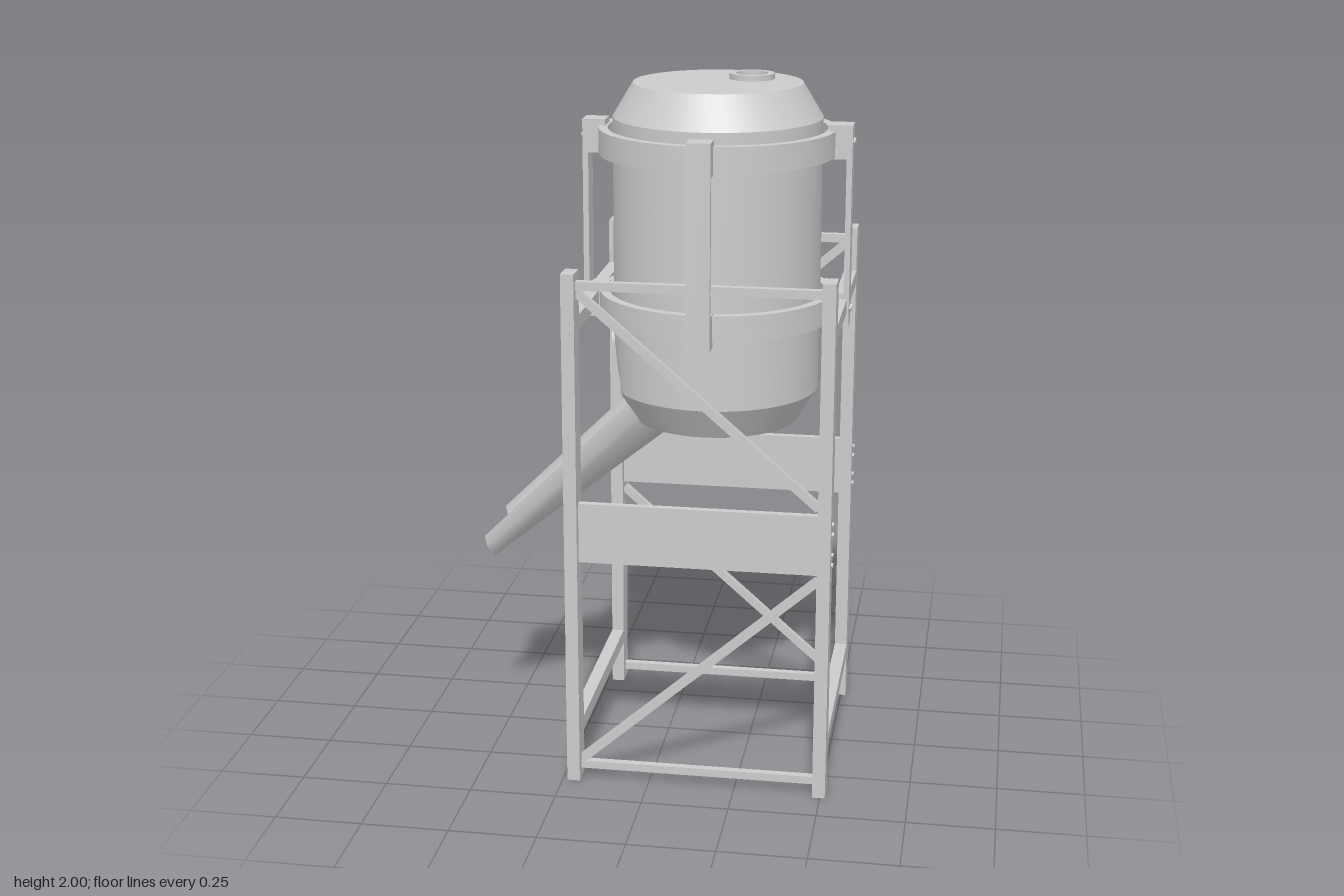
import * as THREE from 'three';
import { toCreasedNormals } from 'three/addons/utils/BufferGeometryUtils.js';

const mat = new THREE.MeshStandardMaterial({ color: 0xcccccc, side: THREE.DoubleSide });
const LEG_X = 0.357, LEG_Z = 0.36, LEG_W = 0.037, LEG_D = 0.07, LEG_H = 1.51;
const SPAN_X = 2 * LEG_X - LEG_W, SPAN_Z = 2 * LEG_Z - LEG_D;

function add(parent, name, geo, x = 0, y = 0, z = 0) {
  const m = new THREE.Mesh(geo, mat);
  m.name = name;
  m.position.set(x, y, z);
  parent.add(m);
  return m;
}

function box(parent, name, w, h, d, x, y, z) {
  return add(parent, name, new THREE.BoxGeometry(w, h, d), x, y, z);
}

function lathe(profile, segments) {
  const pts = profile.map(([r, y]) => new THREE.Vector2(r, y));
  return new THREE.LatheGeometry(pts, segments);
}

// Square-section hoop, y measured from its underside
function hoop(inner, outer, height, segments) {
  return toCreasedNormals(lathe([[inner, 0], [outer, 0], [outer, height], [inner, height], [inner, 0]], segments), 0.6);
}

// Bolt head pointing along x or z
function bolt(parent, axis, x, y, z) {
  const b = add(parent, 'bolt', new THREE.CylinderGeometry(0.007, 0.007, 0.012, 8), x, y, z);
  if (axis === 'x') b.rotation.z = Math.PI / 2;
  else b.rotation.x = Math.PI / 2;
}

// Barrel with sloping shoulders and a flat sloping face cut on the chute side
const cutX = (y) => -0.298 + 0.225 * (1.3 - y);

function tankGeometry() {
  const profile = [[0, 1.016], [0.12, 1.016], [0.239, 1.016]];
  for (let i = 1; i <= 4; i++) profile.push([0.239 + 0.057 * i / 4, 1.016 + 0.094 * i / 4]);
  for (let i = 1; i <= 6; i++) profile.push([0.296, 1.11 + 0.19 * i / 6]);
  profile.push([0.296, 1.889], [0.239, 1.984], [0, 1.984]);
  const geo = lathe(profile, 48);
  const p = geo.attributes.position;
  for (let i = 0; i < p.count; i++) {
    if (p.getY(i) < 1.3) p.setX(i, Math.max(p.getX(i), cutX(p.getY(i))));
  }
  return toCreasedNormals(geo, 0.4);
}

// Trough lofted between a shallow lower end and a deep upper end
function chuteGeometry() {
  const outer = [[0.14, 1], [0.14, 0.6], [0.1, 0], [0, 0], [-0.1, 0], [-0.14, 0.6], [-0.14, 1]];
  const inner = [[-0.13, 1], [-0.13, 0.64], [-0.093, 0.13], [0, 0.13], [0.093, 0.13], [0.13, 0.64], [0.13, 1]];
  const loop = [...outer, ...inner], n = loop.length;
  const ends = [
    { bottom: [-0.652, 0.57], top: [-0.669, 0.645] },
    { bottom: [-0.097, 1.016], top: [-0.139, 1.17] },
  ];
  const pos = [], idx = [];
  for (const e of ends) {
    for (const [z, h] of loop) {
      pos.push(e.bottom[0] + (e.top[0] - e.bottom[0]) * h, e.bottom[1] + (e.top[1] - e.bottom[1]) * h, z);
    }
  }
  for (let i = 0; i < n; i++) {
    const j = (i + 1) % n;
    idx.push(i, i + n, j, j, i + n, j + n);
  }
  for (let i = 0; i < 6; i++) {
    const a = i, b = i + 1, c = n - 2 - i, d = n - 1 - i;
    idx.push(a, b, c, a, c, d, a + n, c + n, b + n, a + n, d + n, c + n);
  }
  const geo = new THREE.BufferGeometry();
  geo.setAttribute('position', new THREE.Float32BufferAttribute(pos, 3));
  geo.setIndex(idx);
  return toCreasedNormals(geo, 1.15);
}

function roundedRect(target, w, h, r) {
  const x = w / 2, y = h / 2;
  target.moveTo(-x + r, -y);
  target.lineTo(x - r, -y);
  target.absarc(x - r, -y + r, r, -Math.PI / 2, 0);
  target.lineTo(x, y - r);
  target.absarc(x - r, y - r, r, 0, Math.PI / 2);
  target.lineTo(-x + r, y);
  target.absarc(-x + r, y - r, r, Math.PI / 2, Math.PI);
  target.lineTo(-x, -y + r);
  target.absarc(-x + r, -y + r, r, Math.PI, Math.PI * 1.5);
  return target;
}

// Flat brace between two points in a plane of constant z
function brace(parent, x0, y0, x1, y1, z) {
  const len = Math.hypot(x1 - x0, y1 - y0);
  const b = box(parent, 'diagonalBrace', len, 0.024, 0.02, (x0 + x1) / 2, (y0 + y1) / 2, z);
  b.rotation.z = Math.atan2(y1 - y0, x1 - x0);
}

export function createModel() {
  const model = new THREE.Group();
  model.name = 'tankOnStand';
  const body = new THREE.Group();
  body.name = 'assembly';
  body.position.set(0.139, 0, -0.003);
  model.add(body);

  // Tank, filler neck, outlet hatch and chute
  add(body, 'tank', tankGeometry());
  add(body, 'fillerNeck', hoop(0.045, 0.064, 0.02, 32), 0.086, 1.98, -0.075);
  const frame = roundedRect(new THREE.Shape(), 0.13, 0.19, 0.04);
  frame.holes.push(roundedRect(new THREE.Path(), 0.08, 0.14, 0.025));
  const hatch = add(body, 'hatchFrame',
    new THREE.ExtrudeGeometry(frame, { depth: 0.012, bevelEnabled: false, curveSegments: 6 }),
    cutX(1.18) + 0.003, 1.18, 0);
  hatch.rotation.set(0, -Math.PI / 2, 0);
  hatch.rotateX(Math.atan(0.225));
  add(body, 'chute', chuteGeometry());

  // Hoops around the tank
  for (const y of [1.32, 1.785]) add(body, 'hoop', hoop(0.31, 0.336, 0.073, 40), 0, y, 0);

  // Four uprights clamped to the hoops
  for (let i = 0; i < 4; i++) {
    const upright = new THREE.Group();
    upright.name = 'upright';
    upright.rotation.y = i * Math.PI / 2;
    body.add(upright);
    box(upright, 'uprightPlate', 0.066, 0.575, 0.016, 0, 1.5875, 0.374);
    for (const y of [1.35, 1.8275]) {
      box(upright, 'clampBlock', 0.066, 0.095, 0.058, 0, y, 0.345);
      for (const x of [-0.013, 0.013]) bolt(upright, 'z', x, y, 0.382);
    }
  }

  // Legs with bolts
  for (const sx of [-1, 1]) {
    for (const sz of [-1, 1]) {
      box(body, 'leg', LEG_W, LEG_H, LEG_D, sx * LEG_X, LEG_H / 2, sz * LEG_Z);
      for (const y of [0.7, 0.73, 0.79, 0.82]) bolt(body, 'x', sx * (LEG_X + LEG_W / 2), y, sz * LEG_Z);
      for (const y of [0.14, 0.17, 1.345, 1.375]) bolt(body, 'z', sx * LEG_X, y, sz * (LEG_Z + LEG_D / 2));
    }
    // Side rails
    box(body, 'upperSideRail', LEG_W, 0.042, SPAN_Z, sx * LEG_X, 1.36, 0);
    box(body, 'lowerSideRail', LEG_W, 0.043, SPAN_Z, sx * LEG_X, 0.153, 0);
  }

  // Front and back frames; the back is the front turned half way round
  for (const s of [1, -1]) {
    const z = s * LEG_Z, e = SPAN_X / 2;
    box(body, 'topRail', SPAN_X, 0.025, 0.022, 0, 1.4725, z);
    box(body, 'bottomRail', SPAN_X, 0.023, 0.022, 0, 0.0415, z);
    box(body, 'panel', SPAN_X, 0.175, 0.022, 0, 0.7575, z);
    brace(body, -s * e, 1.455, s * e, 0.865, z);
    brace(body, -s * e, 0.055, s * e, 0.65, z);
  }
  return model;
}
